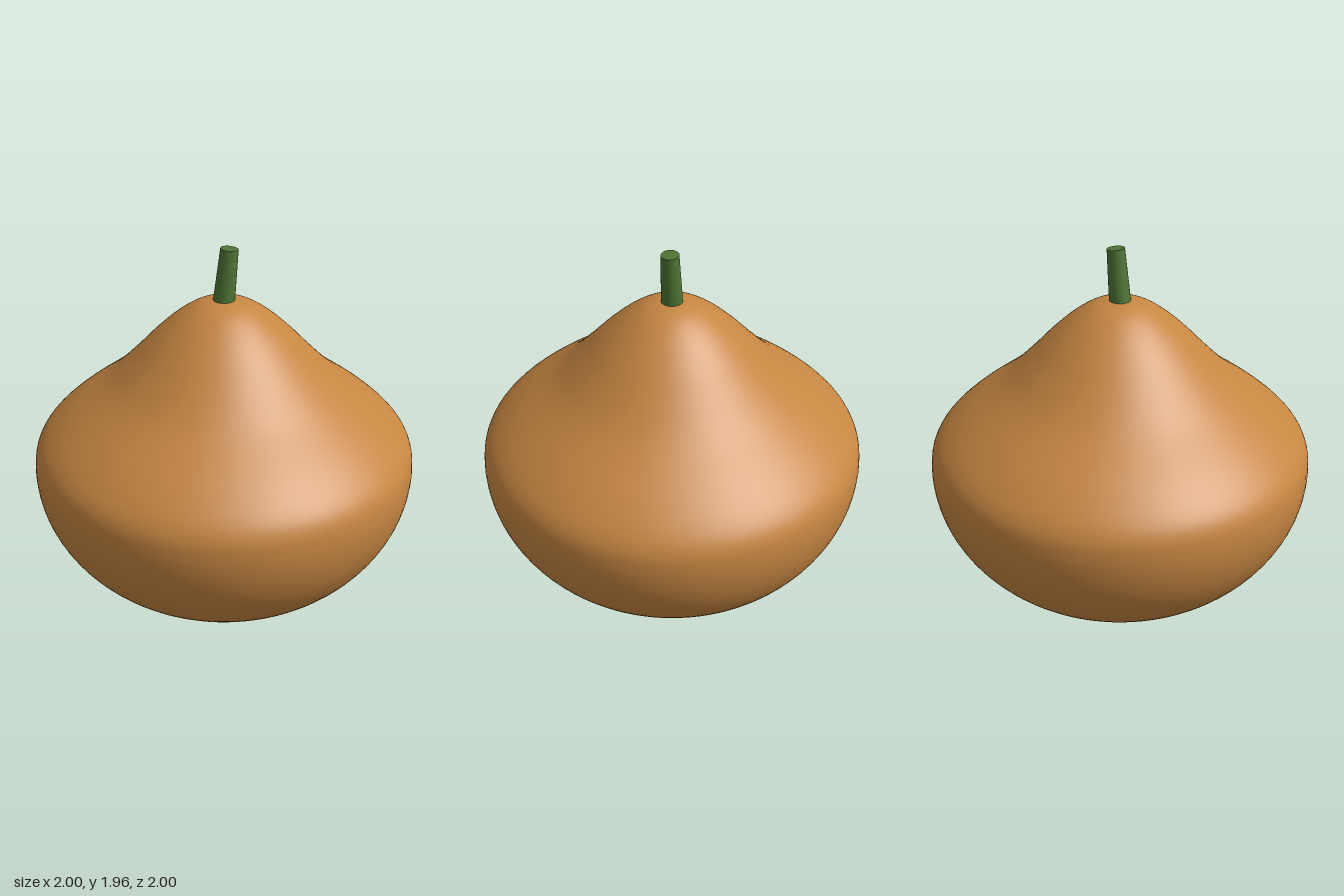
import * as THREE from 'three';

export function createModel() {
  const model = new THREE.Group();
  model.name = 'gourd';

  const skin = new THREE.MeshStandardMaterial({ color: 0xc68642 });
  skin.name = 'orange skin';
  const green = new THREE.MeshStandardMaterial({ color: 0x4f7435 });
  green.name = 'stem green';

  // Body profile: half ellipse below the widest ring, bell-shaped shoulder above
  const profile = [];
  const lowerSteps = 28;
  for (let i = 0; i < lowerSteps; i++) {
    const a = (i / lowerSteps) * Math.PI / 2;
    profile.push(new THREE.Vector2(Math.sin(a), 0.8 - 0.797 * Math.cos(a)));
  }
  const shoulder = new THREE.SplineCurve([
    [1, 0.8], [0.988, 0.9], [0.935, 0.99], [0.81, 1.105], [0.605, 1.26],
    [0.47, 1.39], [0.36, 1.505], [0.255, 1.6], [0.16, 1.665], [0.08, 1.694], [0, 1.7],
  ].map(([r, y]) => new THREE.Vector2(r, y)));
  profile.push(...shoulder.getPoints(50));
  profile[profile.length - 1].x = 0;

  const body = new THREE.Mesh(new THREE.LatheGeometry(profile, 96), skin);
  body.name = 'body';
  model.add(body);

  // Tapered stem leaning toward +x
  const stem = new THREE.Mesh(new THREE.CylinderGeometry(0.045, 0.056, 0.3, 24), green);
  stem.name = 'stem';
  stem.position.set(0.012, 1.81, 0);
  stem.rotation.z = -0.1;
  model.add(stem);

  return model;
}
